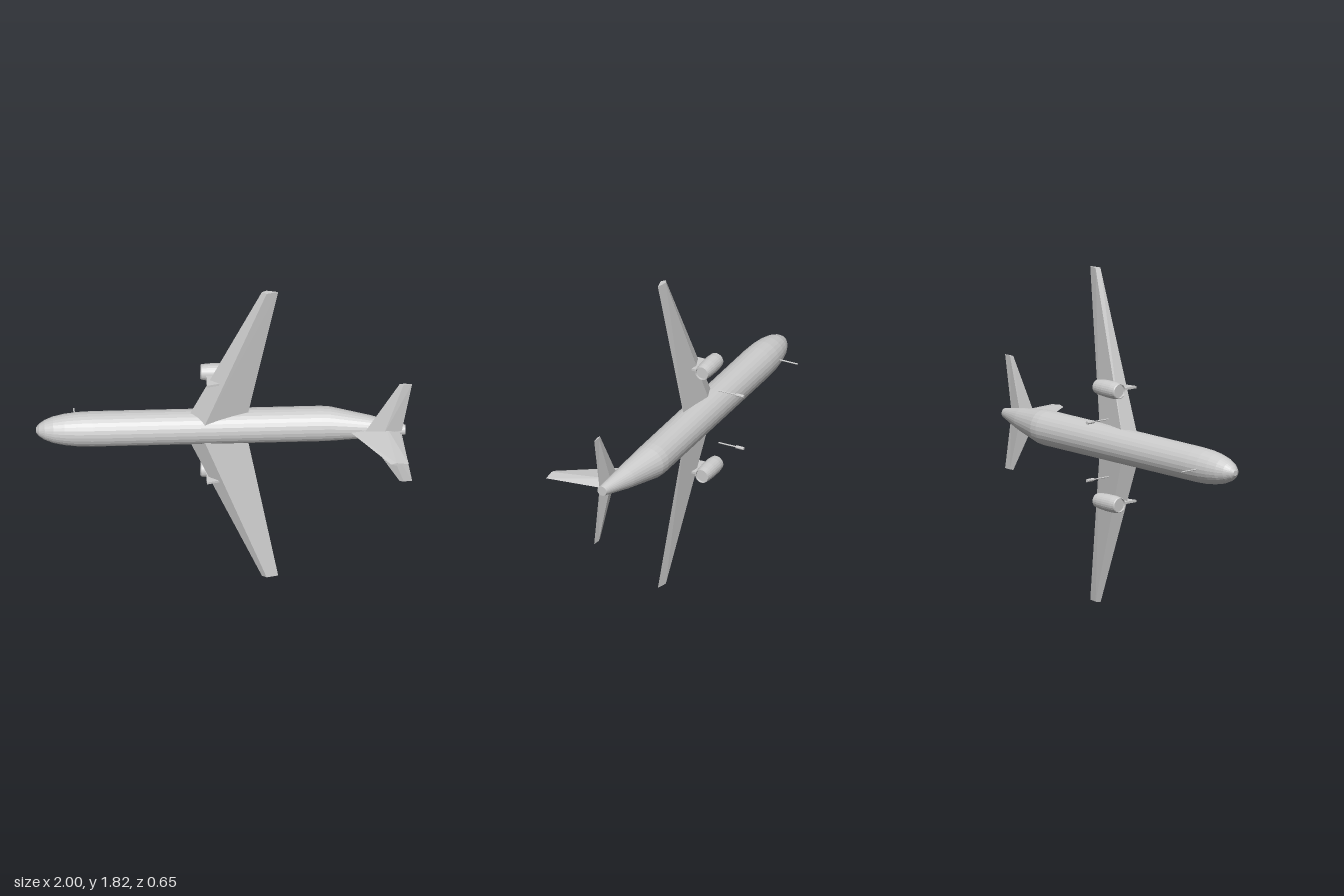
import * as THREE from 'three';

const material = new THREE.MeshStandardMaterial({ color: 0xcccccc, flatShading: true, side: THREE.DoubleSide });

// Skin a row of equal-sized cross-sections and close both ends
function loft(name, sections) {
  const pos = [], n = sections[0].length;
  const tri = (a, b, c) => pos.push(...a, ...b, ...c);
  for (let s = 0; s < sections.length - 1; s++) {
    const p = sections[s], q = sections[s + 1];
    for (let i = 0; i < n; i++) {
      const j = (i + 1) % n;
      tri(p[i], q[i], q[j]);
      tri(p[i], q[j], p[j]);
    }
  }
  const a = sections[0], z = sections[sections.length - 1];
  for (let i = 1; i < n - 1; i++) {
    tri(a[0], a[i], a[i + 1]);
    tri(z[0], z[i + 1], z[i]);
  }
  // Turn every face outward when the enclosed volume comes out negative
  let volume = 0;
  const v = (k) => new THREE.Vector3().fromArray(pos, k);
  for (let k = 0; k < pos.length; k += 9) volume += v(k).dot(v(k + 3).cross(v(k + 6)));
  if (volume < 0) {
    for (let k = 0; k < pos.length; k += 9) {
      for (let m = 0; m < 3; m++) [pos[k + 3 + m], pos[k + 6 + m]] = [pos[k + 6 + m], pos[k + 3 + m]];
    }
  }
  const geometry = new THREE.BufferGeometry();
  geometry.setAttribute('position', new THREE.Float32BufferAttribute(pos, 3));
  geometry.computeVertexNormals();
  const mesh = new THREE.Mesh(geometry, material);
  mesh.name = name;
  return mesh;
}

// Round cross-section of the body at x
function ring(x, radius, z, sides = 28) {
  return Array.from({ length: sides }, (_, i) => {
    const a = (i / sides) * Math.PI * 2;
    return [x, Math.cos(a) * radius, z + Math.sin(a) * radius];
  });
}

// Thin leg running along z
function rod(name, x, y, zTop, zEnd, radius) {
  const mesh = new THREE.Mesh(new THREE.CylinderGeometry(radius, radius, zTop - zEnd, 8), material);
  mesh.rotation.x = Math.PI / 2;
  mesh.position.set(x, y, (zTop + zEnd) / 2);
  mesh.name = name;
  return mesh;
}

export function createModel() {
  const model = new THREE.Group();
  model.name = 'airliner';
  const plane = new THREE.Group();
  plane.name = 'airframe';
  plane.position.y = 0.908;
  model.add(plane);

  // Body: blunt nose, straight tube, tail cone sweeping up: [x, radius, centre z]
  plane.add(loft('fuselage', [
    [-1, 0.014, -0.083], [-0.985, 0.033, -0.083], [-0.955, 0.053, -0.083], [-0.91, 0.071, -0.083],
    [-0.85, 0.084, -0.083], [-0.78, 0.092, -0.083], [-0.7, 0.095, -0.083], [0.52, 0.095, -0.083],
    [0.57, 0.092, -0.08], [0.78, 0.061, -0.044], [0.965, 0.027, -0.005],
  ].map(([x, r, z]) => ring(x, r, z))));

  // Fin: leading edge, thickest points, trailing edge
  const finSection = (z, le, mid, te, half) => [[le, 0, z], [mid, half, z], [te, 0, z], [mid, -half, z]];
  plane.add(loft('verticalFin', [
    finSection(-0.01, 0.66, 0.86, 0.93, 0.026),
    finSection(0.326, 0.875, 0.905, 0.97, 0.008),
  ]));

  for (const side of [1, -1]) {
    const label = side > 0 ? 'upper' : 'lower';
    // Wing-like panel section: leading edge, top, trailing edge, bottom as [x, z]
    const section = (y, points) => points.map(([x, z]) => [x, side * y, z]);

    plane.add(loft(label + 'Wing', [
      section(0.04, [[-0.203, -0.075], [-0.109, -0.006], [0.12, -0.07], [-0.109, -0.108]]),
      section(0.908, [[0.2, 0.004], [0.225, 0.022], [0.287, 0.006], [0.225, -0.01]]),
    ]));

    plane.add(loft(label + 'Stabilizer', [
      section(0.01, [[0.75, 0.02], [0.85, 0.042], [0.945, 0.02], [0.85, 0]]),
      section(0.31, [[0.933, 0.023], [0.955, 0.028], [1, 0.023], [0.955, 0.018]]),
    ]));

    // Engine pod with shallow recessed ends
    const profile = [[0, 0.01], [0.036, 0.01], [0.038, 0], [0.042, 0.004], [0.046, 0.04], [0.046, 0.1],
      [0.043, 0.145], [0.038, 0.178], [0.035, 0.178], [0.034, 0.168], [0, 0.168]];
    const engine = new THREE.Mesh(
      new THREE.LatheGeometry(profile.map(([r, h]) => new THREE.Vector2(r, h)), 24), material);
    engine.rotation.z = -Math.PI / 2;
    engine.position.set(-0.12, side * 0.31, -0.138);
    engine.name = label + 'Engine';
    plane.add(engine);

    // Wedge pylon joining the pod to the wing
    const pylon = (y) => [[-0.093, y, -0.1], [-0.093, y, 0.004], [0.04, y, -0.03], [0.04, y, -0.1]];
    plane.add(loft(label + 'Pylon', [pylon(side * 0.31 - 0.006), pylon(side * 0.31 + 0.006)]));

    // Main gear
    plane.add(rod(label + 'MainGearLeg', -0.07, side * 0.157, -0.175, -0.29, 0.004));
    plane.add(rod(label + 'MainGearFoot', -0.07, side * 0.157, -0.28, -0.326, 0.009));
  }

  plane.add(rod('noseGearLeg', -0.79, 0, -0.16, -0.28, 0.004));
  return model;
}
